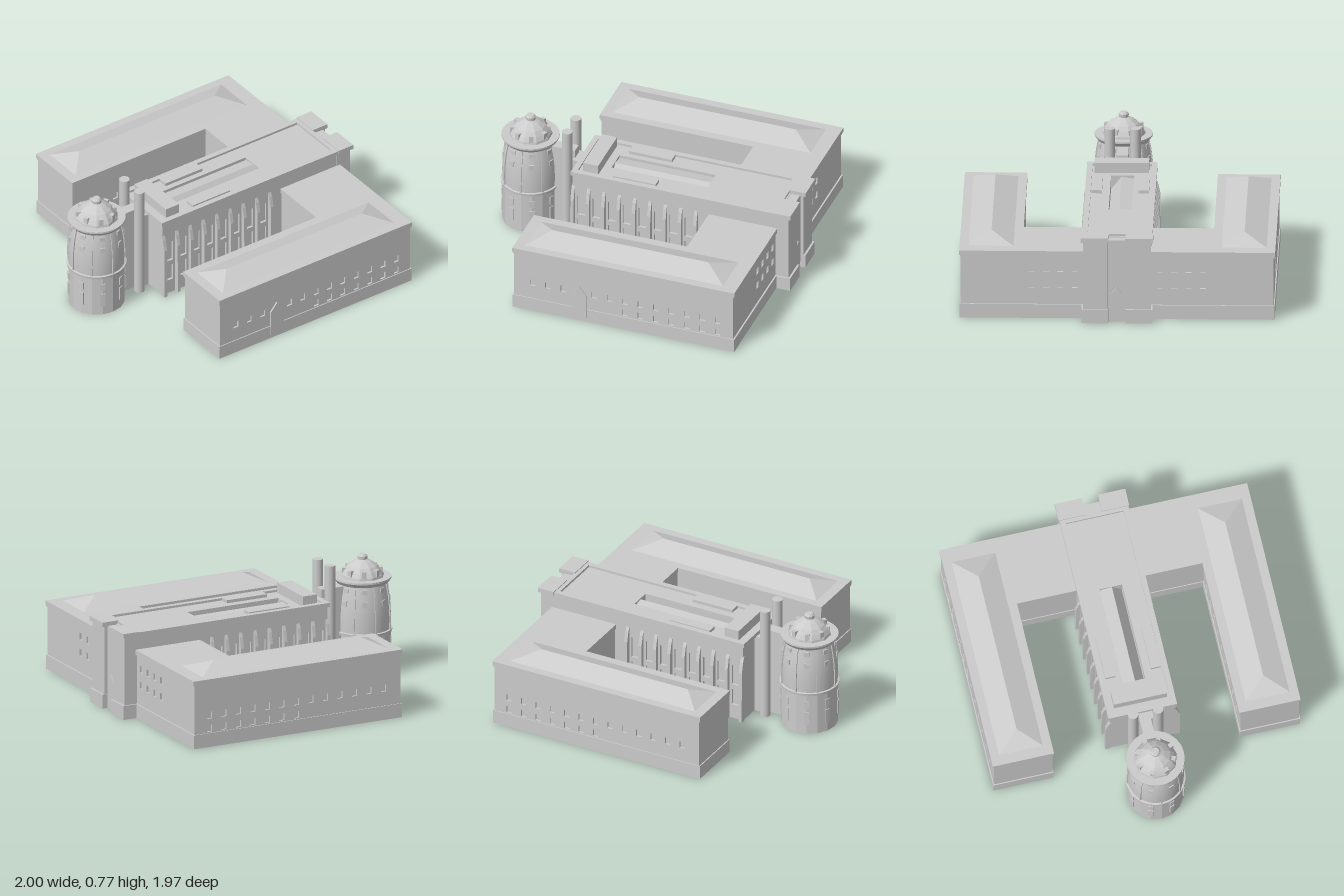
import * as THREE from 'three';
import { ConvexGeometry } from 'three/addons/geometries/ConvexGeometry.js';

const mat = new THREE.MeshStandardMaterial({ color: 0xcccccc });
const flat = new THREE.MeshStandardMaterial({ color: 0xcccccc, flatShading: true });

function add(parent, name, geo, m = mat) {
  const mesh = new THREE.Mesh(geo, m);
  mesh.name = name;
  parent.add(mesh);
  return mesh;
}

// Box given by its extents
function box(parent, name, x0, x1, y0, y1, z0, z1) {
  const b = add(parent, name, new THREE.BoxGeometry(x1 - x0, y1 - y0, z1 - z0));
  b.position.set((x0 + x1) / 2, (y0 + y1) / 2, (z0 + z1) / 2);
  return b;
}

function rect(Type, x0, x1, y0, y1) {
  const s = new Type();
  s.moveTo(x0, y0);
  s.lineTo(x1, y0);
  s.lineTo(x1, y1);
  s.lineTo(x0, y1);
  s.closePath();
  return s;
}

// Slab with rectangular holes; holes are [cx, cy, width, height]
function pierced(x0, x1, y0, y1, holes, depth) {
  const s = rect(THREE.Shape, x0, x1, y0, y1);
  for (const [x, y, w, h] of holes) s.holes.push(rect(THREE.Path, x - w / 2, x + w / 2, y - h / 2, y + h / 2));
  return new THREE.ExtrudeGeometry(s, { depth, bevelEnabled: false });
}

// Pointed doorway slab
function pointedDoor(parent, w, h, shoulder) {
  const s = new THREE.Shape();
  s.moveTo(-w / 2, 0);
  s.lineTo(w / 2, 0);
  s.lineTo(w / 2, shoulder);
  s.lineTo(0, h);
  s.lineTo(-w / 2, shoulder);
  s.closePath();
  return add(parent, 'pointedDoor', new THREE.ExtrudeGeometry(s, { depth: 0.015, bevelEnabled: false }));
}

// Long side wing, built for +z (side = 1) or -z (side = -1)
function wing(side) {
  const g = new THREE.Group();
  g.name = side > 0 ? 'frontWing' : 'backWing';
  const c = 0.79 * side, half = 0.187, t = 0.012;
  box(g, 'wingBody', -0.563, 0.893, 0, 0.42, c - half + t, c + half - t);
  box(g, 'wingPlinth', -0.57, 0.903, 0, 0.09, c - 0.193, c + 0.193);
  box(g, 'wingFrieze', -0.568, 0.898, 0.4, 0.415, c - 0.191, c + 0.191);
  box(g, 'wingCornice', -0.572, 0.905, 0.412, 0.442, c - 0.196, c + 0.196);
  for (const dir of [1, -1]) {
    const holes = [];
    const outer = dir === side;
    for (let i = 0; i < 13; i++) {
      const x = -0.44 + i * 0.1025;
      if (!outer && x > 0.42) continue;
      if (!(side > 0 && outer && i === 3)) holes.push([x, 0.205, 0.036, 0.045]);
      if (i >= 6) holes.push([x, 0.12, 0.036, 0.045]);
    }
    const wall = add(g, 'wingWall', pierced(-0.563, 0.893, 0.09, 0.41, holes, t));
    wall.position.z = c + dir * (half - t) - (dir < 0 ? t : 0);
  }
  // Low hipped roof
  const pts = [];
  for (const x of [-0.51, 0.815]) for (const z of [-0.145, 0.145]) pts.push(new THREE.Vector3(x, 0.44, c + z));
  pts.push(new THREE.Vector3(-0.38, 0.497, c), new THREE.Vector3(0.66, 0.497, c));
  add(g, 'hippedRoof', new ConvexGeometry(pts));
  if (side > 0) pointedDoor(g, 0.1, 0.225, 0.165).position.set(-0.13, 0.028, c + half - 0.005);
  return g;
}

// Block joining the hall to a wing
function link(side) {
  const g = new THREE.Group();
  g.name = 'linkBlock';
  const [a, b] = side > 0 ? [0.2, 0.605] : [-0.605, -0.2];
  box(g, 'linkBody', 0.457, 0.881, 0, 0.42, a, b);
  box(g, 'linkPlinth', 0.452, 0.903, 0, 0.09, a, b);
  box(g, 'linkCornice', 0.449, 0.905, 0.41, 0.442, a, b);
  const holes = [];
  for (const z of [0.265, 0.355, 0.445, 0.535]) for (const y of [0.11, 0.22, 0.325]) holes.push([-side * z, y, 0.036, 0.045]);
  const wall = add(g, 'linkWall', pierced(-b, -a, 0.0895, 0.412, holes, 0.012));
  wall.rotation.y = Math.PI / 2;
  wall.position.x = 0.881;
  return g;
}

function hall() {
  const g = new THREE.Group();
  g.name = 'centralHall';
  box(g, 'hallBody', -0.455, 0.9, 0, 0.455, -0.195, 0.195);
  // Roof slab with skylight opening, framed by the parapet
  const roof = add(g, 'hallRoof', pierced(-0.455, 0.9, -0.21, 0.21, [[0.07, 0.007, 0.64, 0.145]], 0.085));
  roof.rotation.x = -Math.PI / 2;
  roof.position.y = 0.455;
  const parapet = add(g, 'parapet', pierced(-0.465, 0.89, -0.22, 0.22, [[0.215, 0, 1.29, 0.37]], 0.027));
  parapet.rotation.x = -Math.PI / 2;
  parapet.position.y = 0.528;
  const sky = [];
  for (const x of [-0.25, 0.39]) for (const [z, y] of [[-0.08, 0.45], [-0.08, 0.52], [0, 0.533], [0.066, 0.45]])
    sky.push(new THREE.Vector3(x, y, z));
  add(g, 'skylight', new ConvexGeometry(sky));
  box(g, 'roofHouse', -0.4, -0.3, 0.53, 0.606, -0.17, 0.17);
  for (const s of [1, -1]) {
    box(g, 'roofVent', -0.2, 0.085, 0.53, 0.56, s * 0.147 - 0.032, s * 0.147 + 0.032);
    // Side wall with two tiers of windows between buttresses
    const holes = [];
    for (let i = 0; i < 8; i++) {
      const x = -0.399 + i * 0.102;
      holes.push([x, 0.15, 0.05, 0.11], [x, 0.31, 0.05, 0.14]);
    }
    const wall = add(g, 'hallWall', pierced(-0.455, 0.9, 0, 0.456, holes, 0.015));
    wall.position.z = s > 0 ? 0.195 : -0.21;
    for (let i = 0; i < 9; i++) {
      const p = new THREE.Shape([[0.205, 0], [0.24, 0], [0.238, 0.35], [0.222, 0.42], [0.205, 0.46]].map(q => new THREE.Vector2(...q)));
      const b = add(g, 'buttress', new THREE.ExtrudeGeometry(p, { depth: 0.022, bevelEnabled: false }));
      b.rotation.y = -s * Math.PI / 2;
      b.position.x = -0.45 + i * 0.102 + s * 0.011;
    }
  }
  // The buttress profile is drawn along local x, turned to face each side
  g.children.filter(o => o.name === 'buttress').forEach(b => { b.position.z = 0; });
  return g;
}

// Twin-towered entrance at the +x end
function entrance() {
  const g = new THREE.Group();
  g.name = 'entrance';
  for (const s of [1, -1]) {
    const span = (a, b) => (s > 0 ? [a, b] : [-b, -a]);
    box(g, 'entranceTower', 0.88, 0.982, 0, 0.54, ...span(0.057, 0.212));
    box(g, 'entranceTowerBase', 0.88, 0.995, 0, 0.09, ...span(0.054, 0.222));
    box(g, 'entranceTowerCap', 0.885, 0.998, 0.532, 0.561, ...span(0.052, 0.226));
  }
  box(g, 'entranceWall', 0.88, 0.96, 0, 0.535, -0.06, 0.06);
  const door = pointedDoor(g, 0.072, 0.175, 0.13);
  door.rotation.y = Math.PI / 2;
  door.position.set(0.955, 0.055, 0);
  return g;
}

const lathe = (pts, n) => new THREE.LatheGeometry(pts.map(p => new THREE.Vector2(...p)), n);

function roundTower() {
  const g = new THREE.Group();
  g.name = 'roundTower';
  add(g, 'towerBase', lathe([[0, 0], [0.178, 0], [0.178, 0.28]], 16), flat);
  add(g, 'beltRing', lathe([[0.17, 0.27], [0.186, 0.274], [0.188, 0.29], [0.17, 0.294]], 40), flat);
  const upper = [[0.176, 0.285], [0.178, 0.36], [0.175, 0.44], [0.166, 0.52], [0.15, 0.6]];
  add(g, 'towerUpper', lathe(upper, 40));
  add(g, 'galleryFlange', lathe([[0.145, 0.585], [0.165, 0.592], [0.182, 0.615], [0.182, 0.626], [0.13, 0.626]], 40), flat);
  add(g, 'dome', lathe([[0.138, 0.62], [0.134, 0.64], [0.118, 0.667], [0.095, 0.695], [0.06, 0.72], [0.03, 0.735]], 10), flat);
  add(g, 'finial', lathe([[0.03, 0.73], [0.032, 0.755], [0.022, 0.767], [0, 0.767]], 12), flat);
  // Ribs, windows and dormers, eight around
  for (let i = 0; i < 8; i++) {
    const ribs = new THREE.Group();
    ribs.name = 'towerBay';
    ribs.rotation.y = i * Math.PI / 4;
    const p = new THREE.Shape([...upper.map(([r, y]) => new THREE.Vector2(r + 0.007, y)),
      new THREE.Vector2(0.13, 0.6), new THREE.Vector2(0.15, 0.285)]);
    const rib = add(ribs, 'rib', new THREE.ExtrudeGeometry(p, { depth: 0.012, bevelEnabled: false }));
    rib.rotation.y = -Math.PI / 2;
    rib.position.x = 0.006;
    const bay = new THREE.Group();
    bay.name = 'towerWindows';
    bay.rotation.y = Math.PI / 8;
    for (const [y, h, r] of [[0.11, 0.09, 0.178], [0.205, 0.05, 0.178], [0.48, 0.035, 0.171], [0.558, 0.03, 0.159]])
      box(bay, 'window', -0.016, 0.016, y - h / 2, y + h / 2, r - 0.015, r + 0.004);
    box(bay, 'dormer', -0.014, 0.014, 0.635, 0.682, 0.09, 0.128);
    ribs.add(bay);
    g.add(ribs);
  }
  g.position.x = -0.812;
  return g;
}

export function createModel() {
  const model = new THREE.Group();
  model.name = 'building';
  for (const s of [1, -1]) {
    model.add(wing(s), link(s));
    const c = add(model, 'chimney', new THREE.CylinderGeometry(0.033, 0.033, 0.752, 24));
    c.position.set(-0.54, 0.376, s * 0.08);
  }
  model.add(hall(), entrance(), roundTower());
  // Narrow block between hall and round tower
  box(model, 'bridge', -0.66, -0.505, 0, 0.585, -0.035, 0.035);
  box(model, 'bridgeEnd', -0.515, -0.45, 0, 0.53, -0.06, 0.06);
  return model;
}
